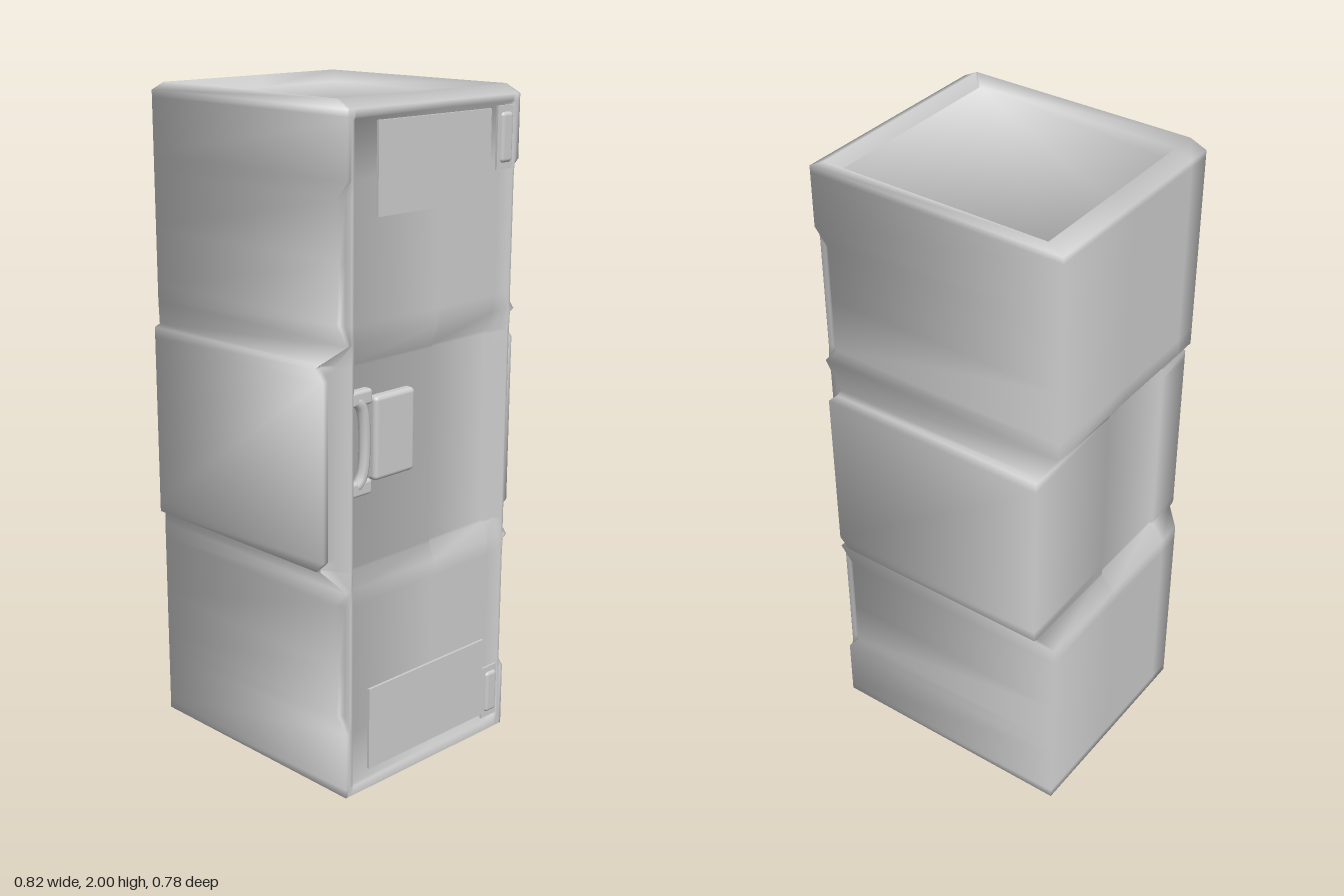
import * as THREE from 'three';
import { RoundedBoxGeometry } from 'three/addons/geometries/RoundedBoxGeometry.js';

const grey = new THREE.MeshStandardMaterial({ color: 0xcccccc });
const FRAME = 0.403; // x of the door frame

function add(group, name, geometry, x = 0, y = 0, z = 0) {
  const mesh = new THREE.Mesh(geometry, grey);
  mesh.name = name;
  mesh.position.set(x, y, z);
  group.add(mesh);
}

// Closes one door-side edge into a full outline; d is the door face, s the depth of its
// shallow step, and w, out are the half width on the far side and the reach in z
function outline(edge, d, s, w, out) {
  const back = edge.map(([x, z]) => [x, -z]).reverse();
  return [
    ...edge, [d, -0.02], [d - s, -0.027], [d - s, -0.26], [d, -0.267], ...back,
    [-w, -out], [-w, -0.03], [s - w, -0.022], [s - w, 0.26], [-w, 0.267], [-w, out],
  ];
}

// Plain section: corner at x = c, thin frame upright, door face at x = d
function plain(c, d) {
  const edge = [[0, 0.344], [0.03, 0.334], [0.5, 0.331], [0.9, 0.329], [1, 0.326]]
    .map(([t, z]) => [c + (FRAME - c) * t, z]);
  return outline([...edge, [FRAME, 0.318], [d, 0.314]], d, 0, 0.41, 0.344);
}

// Waist section: raised slab reaching z = out, with an undercut lip ending at x = lip
function waist(lip, out) {
  const edge = [
    [lip, out], [lip, Math.min(out, 0.374) - 0.001], [0.325, 0.368], [0.362, 0.345],
    [FRAME, 0.326], [FRAME, 0.318], [0.378, 0.314],
  ];
  return outline(edge, 0.378, 0.009, 0.37, out);
}

// Smooth normals weighted by corner angle
function smoothNormals(g) {
  const p = g.attributes.position, index = g.index.array;
  const sum = Array.from({ length: p.count }, () => new THREE.Vector3());
  for (let i = 0; i < index.length; i += 3) {
    const ids = [index[i], index[i + 1], index[i + 2]];
    const v = ids.map((id) => new THREE.Vector3().fromBufferAttribute(p, id));
    const normal = new THREE.Triangle(...v).getNormal(new THREE.Vector3());
    ids.forEach((id, k) => {
      const a = v[(k + 1) % 3].clone().sub(v[k]), b = v[(k + 2) % 3].clone().sub(v[k]);
      sum[id].addScaledVector(normal, a.angleTo(b));
    });
  }
  const flat = sum.flatMap((n) => n.normalize().toArray());
  g.setAttribute('normal', new THREE.Float32BufferAttribute(flat, 3));
  return g;
}

// Closed skin through stacked outlines
function loft(sections) {
  const n = sections[0].ring.length, pos = [], index = [];
  for (const { y, ring, sx = 1, sz = 1 } of sections)
    for (const [x, z] of ring) pos.push(x * sx, y, z * sz);
  for (let i = 0; i < sections.length - 1; i++)
    for (let j = 0; j < n; j++) {
      const k = (j + 1) % n, a = i * n + j, b = i * n + k;
      index.push(a, b, b + n, a, b + n, a + n);
    }
  const top = (sections.length - 1) * n;
  for (let j = 1; j < n - 1; j++) index.push(0, j + 1, j, top, top + j, top + j + 1);
  const g = new THREE.BufferGeometry();
  g.setAttribute('position', new THREE.Float32BufferAttribute(pos, 3));
  g.setIndex(index);
  return smoothNormals(g);
}

export function createModel() {
  const model = new THREE.Group();
  model.name = 'crate';

  // Body: framed door side, raised waist and a shallow recessed top
  const d = 0.395;
  const flush = plain(FRAME, FRAME), wide = plain(FRAME, d), cut = plain(0.362, d);
  add(model, 'body', loft([
    { y: 0, ring: flush },
    { y: 0.027, ring: flush },
    { y: 0.034, ring: wide },
    { y: 0.2, ring: wide },
    { y: 0.25, ring: cut },
    { y: 0.4, ring: cut },
    { y: 0.59, ring: cut },
    { y: 0.64, ring: wide },
    { y: 0.69, ring: waist(0.327, 0.372) },
    { y: 0.698, ring: waist(0.327, 0.391) },
    { y: 0.73, ring: waist(0.36, 0.391) },
    { y: 1.25, ring: waist(0.36, 0.391) },
    { y: 1.282, ring: waist(0.327, 0.391) },
    { y: 1.29, ring: waist(0.327, 0.372) },
    { y: 1.35, ring: wide },
    { y: 1.4, ring: cut },
    { y: 1.57, ring: cut },
    { y: 1.74, ring: cut },
    { y: 1.79, ring: wide },
    { y: 1.948, ring: wide },
    { y: 1.955, ring: flush },
    { y: 1.975, ring: flush },
    { y: 2, ring: flush, sx: 0.88, sz: 0.985 },
    { y: 1.965, ring: flush, sx: 0.825, sz: 0.945 },
  ]));

  // Flat plates at the top and bottom of the door
  add(model, 'upperPlate', new THREE.BoxGeometry(0.02, 0.255, 0.45), 0.393, 1.8125, 0.003);
  add(model, 'lowerPlate', new THREE.BoxGeometry(0.02, 0.255, 0.5), 0.393, 0.1875, 0);

  // Corner hinges
  for (const [y, h] of [[1.855, 0.18], [0.13, 0.17]]) {
    const hinge = new THREE.Group();
    hinge.name = 'hinge';
    model.add(hinge);
    add(hinge, 'hingeBase', new THREE.BoxGeometry(0.022, h, 0.066), 0.391, y, -0.284);
    add(hinge, 'hingeBarrel', new RoundedBoxGeometry(0.04, h * 0.8, 0.05, 3, 0.012), 0.39, y, -0.288);
  }

  // Cushioned latch pad beside the handle
  add(model, 'latchPad', new RoundedBoxGeometry(0.04, 0.245, 0.16, 4, 0.014), 0.385, 1.067, 0.154);

  // Grab handle with its two mounts
  const handle = new THREE.Group();
  handle.name = 'handle';
  model.add(handle);
  const path = new THREE.CatmullRomCurve3([
    [0.37, 0.935, 0.308], [0.388, 0.94, 0.295], [0.392, 0.97, 0.275], [0.392, 1.065, 0.265],
    [0.392, 1.16, 0.275], [0.388, 1.19, 0.295], [0.37, 1.195, 0.308],
  ].map((p) => new THREE.Vector3(...p)));
  add(handle, 'handleGrip', new THREE.TubeGeometry(path, 32, 0.017, 8));
  for (const y of [0.935, 1.195])
    add(handle, 'handleMount', new RoundedBoxGeometry(0.036, 0.045, 0.08, 3, 0.01), 0.385, y, 0.282);

  return model;
}
